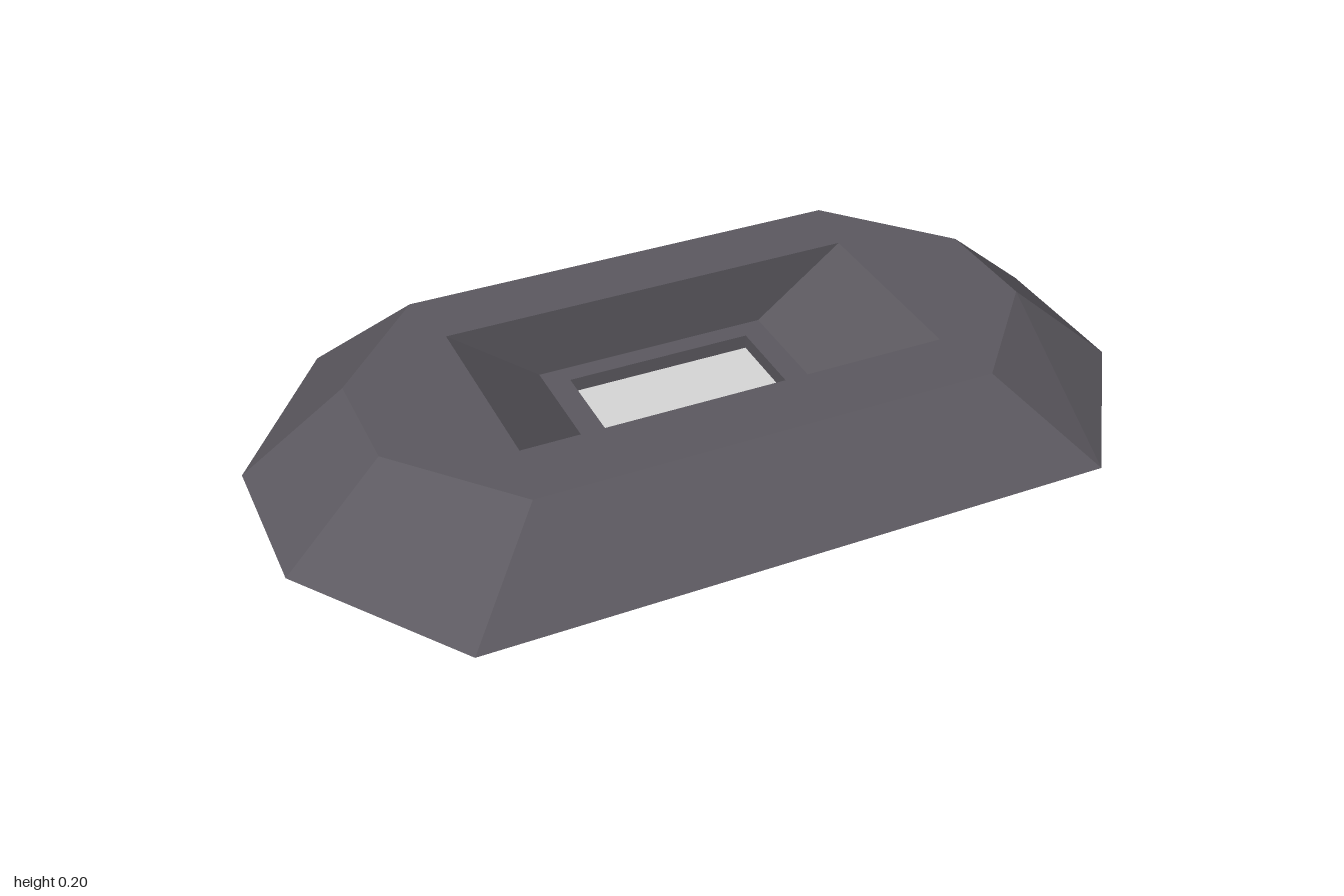
import * as THREE from 'three';

const shell = new THREE.MeshStandardMaterial({ color: 0x5c5960, side: THREE.DoubleSide });
shell.name = 'dark grey shell';
const light = new THREE.MeshStandardMaterial({ color: 0xd8d8d8, side: THREE.DoubleSide });
light.name = 'pale panel';

// Rings are [x, -z] points, counter-clockwise seen from above
const rectangle = (x, z) => [[x, -z], [x, z], [-x, z], [-x, -z]];
const octagon = (x, cutX, z, cutZ) => [
  [x, -cutZ], [x, cutZ], [cutX, z], [-cutX, z],
  [-x, cutZ], [-x, -cutZ], [-cutX, -z], [cutX, -z],
];

// Flat-faced wall joining two rings at different heights
function band(ringA, yA, ringB, yB) {
  const positions = [];
  ringA.forEach((p, i) => {
    const j = (i + 1) % ringA.length;
    const a = [p[0], yA, -p[1]];
    const b = [ringA[j][0], yA, -ringA[j][1]];
    const c = [ringB[j][0], yB, -ringB[j][1]];
    const d = [ringB[i][0], yB, -ringB[i][1]];
    positions.push(...a, ...b, ...c, ...a, ...c, ...d);
  });
  const geometry = new THREE.BufferGeometry();
  geometry.setAttribute('position', new THREE.Float32BufferAttribute(positions, 3));
  geometry.computeVertexNormals();
  return geometry;
}

// Horizontal face at height y, optionally with an opening
function plate(ring, y, opening) {
  const toPoints = (r) => r.map(([x, v]) => new THREE.Vector2(x, v));
  const shape = new THREE.Shape(toPoints(ring));
  if (opening) shape.holes.push(new THREE.Path(toPoints(opening)));
  return new THREE.ShapeGeometry(shape).rotateX(-Math.PI / 2).translate(0, y, 0);
}

export function createModel() {
  const group = new THREE.Group();
  group.name = 'recessedHousing';
  const add = (name, geometry, material) => {
    const mesh = new THREE.Mesh(geometry, material);
    mesh.name = name;
    group.add(mesh);
  };

  const topY = 0.2;
  const floorY = 0.035;
  const base = octagon(1, 0.727, 0.575, 0.19);
  const top = octagon(0.768, 0.533, 0.402, 0.135);
  const recessTop = rectangle(0.5, 0.237);
  const recessFloor = rectangle(0.285, 0.237);
  const socket = rectangle(0.227, 0.187);

  // Hollow outer shell, open underneath
  add('slopedSides', band(base, 0, top, topY), shell);
  add('topFace', plate(top, topY, recessTop), shell);

  // Recess with sloping ends and upright long walls
  add('recessWalls', band(recessTop, topY, recessFloor, floorY), shell);
  add('recessFloor', plate(recessFloor, floorY, socket), shell);

  // Shallow socket closed by the pale panel
  add('socketWalls', band(socket, floorY, socket, 0), shell);
  add('panel', plate(socket, 0), light);

  return group;
}
